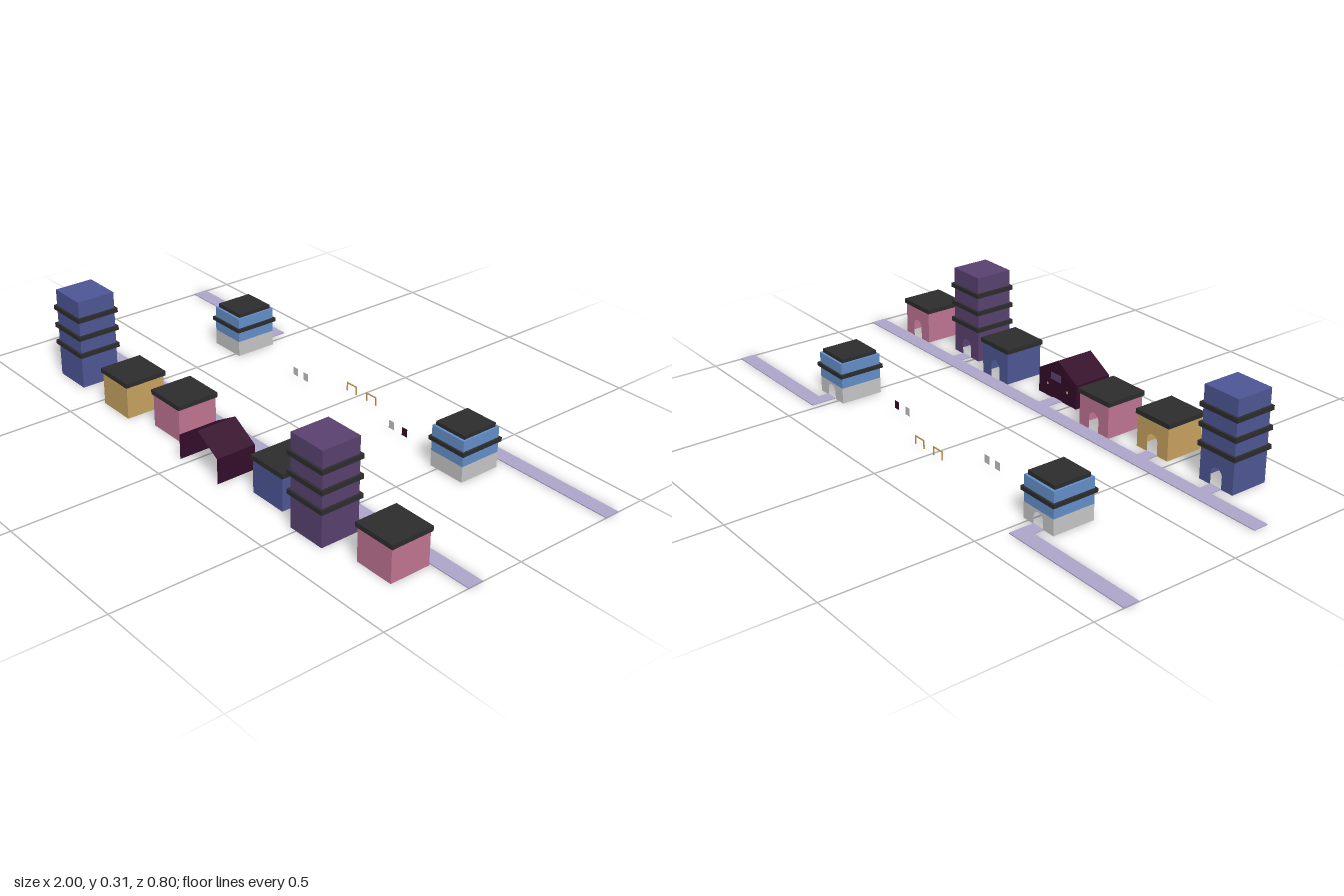
import * as THREE from 'three';

const mat = (name, color, side = THREE.FrontSide) => {
  const m = new THREE.MeshStandardMaterial({ color, side });
  m.name = name;
  return m;
};
const D = THREE.DoubleSide;
const M = {
  charcoal: mat('charcoal', 0x2d2d2d),
  blue: mat('blue', 0x4e5796, D),
  violet: mat('violet', 0x5a4271, D),
  pink: mat('pink', 0xc17593, D),
  gold: mat('gold', 0xc9a360, D),
  plum: mat('plum', 0x340d2a, D),
  skyBlue: mat('skyBlue', 0x6490cc, D),
  paleGrey: mat('paleGrey', 0xc8c8c8, D),
  lavender: mat('lavender', 0xafa6cb),
};

function add(parent, name, geo, material, x = 0, y = 0, z = 0) {
  const mesh = new THREE.Mesh(geo, material);
  mesh.name = name;
  mesh.position.set(x, y, z);
  parent.add(mesh);
  return mesh;
}

function slab(parent, name, material, w, h, d, x, y, z) {
  return add(parent, name, new THREE.BoxGeometry(w, h, d), material, x, y + h / 2, z);
}

// Open sheet made by joining two matching polylines with flat quads
function sheet(a, b) {
  const pos = [];
  for (let i = 0; i < a.length - 1; i++) {
    pos.push(...a[i], ...a[i + 1], ...b[i + 1], ...a[i], ...b[i + 1], ...b[i]);
  }
  const geo = new THREE.BufferGeometry();
  geo.setAttribute('position', new THREE.Float32BufferAttribute(pos, 3));
  geo.computeVertexNormals();
  return geo;
}

// Hollow walls; the wall facing -z may have an arched doorway
function walls(parent, material, w, y0, y1, d, door) {
  const x = w / 2, z = d / 2;
  const plan = [[-x, -z], [-x, z], [x, z], [x, -z]];
  add(parent, 'sideWalls', sheet(plan.map(p => [p[0], y0, p[1]]), plan.map(p => [p[0], y1, p[1]])), material);
  const s = new THREE.Shape();
  s.moveTo(-x, y0);
  if (door) {
    const r = door.w / 2;
    s.lineTo(-r, y0);
    s.lineTo(-r, door.h - r);
    s.absarc(0, door.h - r, r, Math.PI, 0, true);
    s.lineTo(r, y0);
  }
  s.lineTo(x, y0);
  s.lineTo(x, y1);
  s.lineTo(-x, y1);
  const back = add(parent, 'doorWall', new THREE.ShapeGeometry(s, 8), material, 0, 0, -z);
  back.rotation.y = Math.PI;
}

// Horizontal ledge running around a building
function ledge(parent, w, d, y, h, rim) {
  const rect = (P, a, b) => new P([[-a, -b], [a, -b], [a, b], [-a, b]].map(p => new THREE.Vector2(...p)));
  const s = rect(THREE.Shape, w / 2 + rim, d / 2 + rim);
  s.holes.push(rect(THREE.Path, w / 2 - 0.001, d / 2 - 0.001));
  const geo = new THREE.ExtrudeGeometry(s, { depth: h, bevelEnabled: false });
  geo.rotateX(-Math.PI / 2);
  add(parent, 'ledge', geo, M.charcoal, 0, y, 0);
}

function building(root, name, x, z) {
  const g = new THREE.Group();
  g.name = name;
  g.position.set(x, 0, z);
  root.add(g);
  return g;
}

function tower(root, material, x, z) {
  const g = building(root, 'tower', x, z);
  const w = 0.136, d = 0.135;
  walls(g, material, w, 0, 0.307, d, { w: 0.045, h: 0.062 });
  slab(g, 'towerTop', material, w, 0.002, d, 0, 0.306, 0);
  for (const y of [0.111, 0.173, 0.237]) ledge(g, w, d, y, 0.015, 0.008);
}

function cottage(root, material, x, z) {
  const g = building(root, 'cottage', x, z);
  walls(g, material, 0.136, 0, 0.112, 0.14, { w: 0.045, h: 0.065 });
  slab(g, 'flatRoof', M.charcoal, 0.147, 0.016, 0.149, 0, 0.111, 0);
}

function twoToneHouse(root, x, z) {
  const g = building(root, 'twoToneHouse', x, z);
  const w = 0.132, d = 0.147;
  walls(g, M.paleGrey, w, 0, 0.053, d, { w: 0.042, h: 0.046 });
  walls(g, M.skyBlue, w, 0.053, 0.138, d);
  slab(g, 'upperDeck', M.skyBlue, w, 0.002, d, 0, 0.137, 0);
  ledge(g, w, d, 0.09, 0.013, 0.007);
  slab(g, 'flatRoof', M.charcoal, 0.118, 0.013, 0.13, 0, 0.139, 0);
}

// Gabled house, open towards +z
function gabledHouse(root, x, z) {
  const g = building(root, 'gabledHouse', x, z);
  const w = 0.095, d = 0.07;
  const profile = [[-w, 0], [-w, 0.085], [0, 0.14], [w, 0.085], [w, 0]];
  add(g, 'wallsAndRoof', sheet(profile.map(p => [...p, -d]), profile.map(p => [...p, d])), M.plum);
  const gable = new THREE.Shape(profile.map(p => new THREE.Vector2(...p)));
  add(g, 'gableWall', new THREE.ShapeGeometry(gable), M.plum, 0, 0, -d);
  slab(g, 'window', M.violet, 0.05, 0.024, 0.004, 0.008, 0.066, -d);
  for (const px of [-0.05, 0.05]) slab(g, 'lamp', M.gold, 0.006, 0.008, 0.004, px, 0.04, -d);
}

// Small free-standing frame with two posts and a crossbar
function gateFrame(root, x, z) {
  const g = building(root, 'gateFrame', x, z);
  for (const s of [-1, 1]) slab(g, 'post', M.gold, 0.004, 0.028, 0.003, s * 0.022, 0, 0);
  slab(g, 'crossbar', M.gold, 0.048, 0.004, 0.003, 0, 0.026, 0);
}

export function createModel() {
  const root = new THREE.Group();
  root.name = 'village';

  // Front row
  tower(root, M.blue, -0.682, 0.311);
  cottage(root, M.gold, -0.41, 0.312);
  cottage(root, M.pink, -0.186, 0.27);
  gabledHouse(root, 0.065, 0.33);
  cottage(root, M.blue, 0.329, 0.275);
  tower(root, M.violet, 0.543, 0.311);
  cottage(root, M.pink, 0.788, 0.275);

  // Back row
  for (const x of [-0.546, 0.538]) twoToneHouse(root, x, -0.239);

  // Paths: main strips, then short spurs to the doors
  const path = (x0, x1, z0, z1) =>
    slab(root, 'path', M.lavender, x1 - x0, 0.003, z1 - z0, (x0 + x1) / 2, 0, (z0 + z1) / 2);
  path(-0.93, 1, 0.147, 0.2);
  path(-1, -0.525, -0.4, -0.348);
  path(0.52, 1, -0.4, -0.348);
  path(-0.57, -0.525, -0.348, -0.312);
  path(0.52, 0.565, -0.348, -0.312);
  for (const [x, z] of [[-0.683, 0.244], [-0.412, 0.242], [0.065, 0.26], [0.542, 0.244]]) {
    path(x - 0.022, x + 0.022, 0.2, z);
  }

  // Gate frames and small upright panels in the square
  for (const x of [-0.032, 0.064]) gateFrame(root, x, -0.29);
  for (const x of [-0.225, -0.174, 0.248, 0.308]) {
    add(root, 'panel', new THREE.PlaneGeometry(0.024, 0.028), x > 0.3 ? M.plum : M.paleGrey, x, 0.026, -0.21);
  }
  return root;
}
